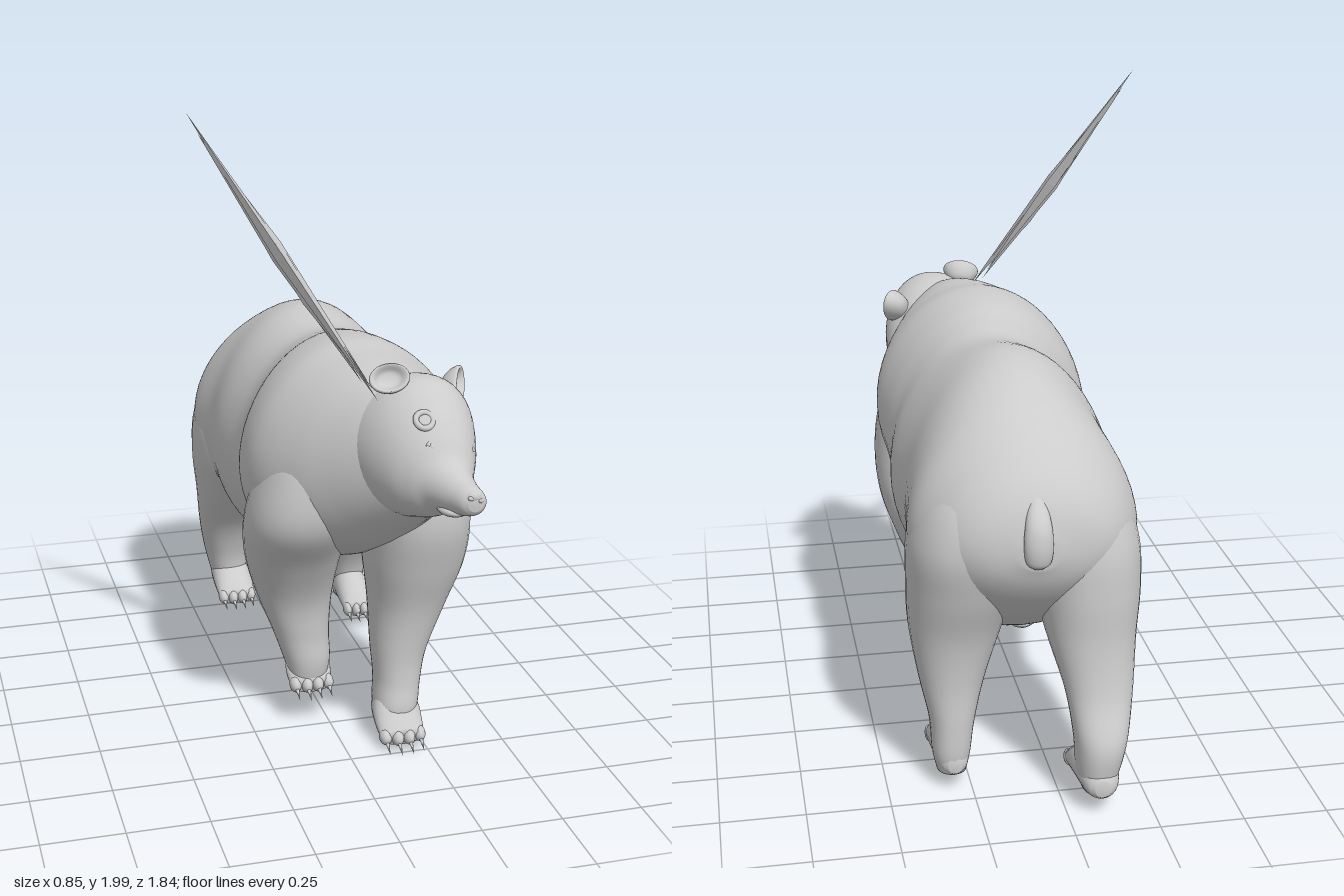
import * as THREE from 'three';

const grey = new THREE.MeshStandardMaterial({ color: 0xcccccc });
const thin = new THREE.MeshStandardMaterial({ color: 0xcccccc, side: THREE.DoubleSide, flatShading: true });
const V = (x, y, z) => new THREE.Vector3(x, y, z);
const soften = (v, p) => Math.sign(v) * Math.abs(v) ** p;

function add(parent, name, geometry, material = grey) {
  const mesh = new THREE.Mesh(geometry, material);
  mesh.name = name;
  parent.add(mesh);
  return mesh;
}

// Smooth skin through oval sections [x, y, z, halfWidth, halfDepth], ascending along the axis.
// egg narrows the top, roll tilts each ring, power below 1 squares the oval.
function loft(sections, axis, { egg = 0, roll = 0, power = 1, sides = 36, steps = 6 } = {}) {
  const path = new THREE.CatmullRomCurve3(sections.map(s => V(s[0], s[1], s[2])), false, 'catmullrom');
  const size = new THREE.CatmullRomCurve3(sections.map(s => V(s[3], s[4], 0)), false, 'catmullrom');
  const rows = (sections.length - 1) * steps;
  const pos = [], index = [];
  for (let i = 0; i <= rows; i++) {
    const c = path.getPoint(i / rows), r = size.getPoint(i / rows);
    for (let j = 0; j < sides; j++) {
      const t = (j / sides) * Math.PI * 2;
      const a = r.x * soften(Math.cos(t), power) * (1 - egg * Math.sin(t)), b = r.y * soften(Math.sin(t), power);
      const u = a * Math.cos(roll) - b * Math.sin(roll), v = a * Math.sin(roll) + b * Math.cos(roll);
      if (axis === 'z') pos.push(c.x + u, c.y + v, c.z);
      else pos.push(c.x + u, c.y, c.z - v);
      if (i < rows) {
        const k = (j + 1) % sides, p = i * sides, q = p + sides;
        index.push(p + j, p + k, q + j, p + k, q + k, q + j);
      }
    }
  }
  // End caps
  const first = pos.length / 3, last = rows * sides;
  pos.push(...sections[0].slice(0, 3), ...sections[sections.length - 1].slice(0, 3));
  for (let j = 0; j < sides; j++) {
    const k = (j + 1) % sides;
    index.push(first, k, j, first + 1, last + j, last + k);
  }
  const g = new THREE.BufferGeometry();
  g.setAttribute('position', new THREE.Float32BufferAttribute(pos, 3));
  g.setIndex(index);
  g.computeVertexNormals();
  return g;
}

function ball(parent, name, x, y, z, rx, ry, rz) {
  const m = add(parent, name, new THREE.SphereGeometry(1, 20, 14));
  m.position.set(x, y, z);
  m.scale.set(rx, ry, rz);
}

// Sole, four toes and curved-down claws; origin at the toe line
function paw(parent, name, x, y, z, length, pitch, width) {
  const g = new THREE.Group();
  g.name = name;
  g.position.set(x, y, z);
  g.rotation.x = pitch;
  add(g, 'sole', loft([
    [0, 0.02, -length, width * 0.35, 0.025], [0, 0.028, -length + 0.03, width * 0.75, 0.048],
    [0, 0.045, -length * 0.5, width, 0.07], [0, 0.022, -0.04, width, 0.047], [0, 0.005, 0.005, width * 0.88, 0.024],
  ], 'z', { sides: 24 }));
  for (let i = 0; i < 4; i++) {
    const u = (i - 1.5) / 1.5, tx = u * width * 0.74, tz = -0.012 * u * u;
    ball(g, 'toe', tx, 0.006, tz, width * 0.26, 0.025, 0.03);
    const claw = add(g, 'claw', new THREE.ConeGeometry(0.008, 0.05, 8));
    claw.position.set(tx, -0.008, tz + 0.04);
    claw.rotation.x = Math.PI / 2 + 0.45;
  }
  parent.add(g);
}

// Dished round ear opening toward dir
function ear(parent, name, center, dir, rx, rz) {
  const profile = [[0, -0.9], [0.5, -0.75], [0.85, -0.3], [1, 0.15], [0.92, 0.32], [0.76, 0.2], [0.5, -0.1], [0, -0.2]];
  const m = add(parent, name, new THREE.LatheGeometry(
    new THREE.SplineCurve(profile.map(p => new THREE.Vector2(...p))).getPoints(24), 28));
  m.position.copy(center);
  m.quaternion.setFromUnitVectors(V(0, 1, 0), dir.normalize());
  m.scale.set(rx, 0.05, rz);
}

// Long three-sided splinter from a to b
function splinter(parent, a, b, r, fat) {
  const d = b.clone().sub(a), len = d.length();
  const m = add(parent, 'splinter', new THREE.LatheGeometry(
    [[0, 0], [r, fat * len], [0, len]].map(p => new THREE.Vector2(...p)), 3), thin);
  m.position.copy(a);
  m.quaternion.setFromUnitVectors(V(0, 1, 0), d.normalize());
}

export function createModel() {
  const bear = new THREE.Group();
  bear.name = 'bear';

  // Torso: [z, top, bottom, right side, left side]
  const torso = [
    [-0.86, 0.87, 0.78, 0.03, 0.13], [-0.83, 0.96, 0.71, -0.1, 0.24], [-0.78, 1.035, 0.64, -0.175, 0.315],
    [-0.7, 1.11, 0.56, -0.23, 0.375], [-0.6, 1.18, 0.49, -0.255, 0.415], [-0.45, 1.245, 0.43, -0.24, 0.405],
    [-0.3, 1.265, 0.42, -0.245, 0.395], [-0.12, 1.24, 0.45, -0.225, 0.41], [0, 1.26, 0.49, -0.23, 0.395],
    [0.12, 1.29, 0.54, -0.26, 0.4], [0.25, 1.303, 0.59, -0.265, 0.41], [0.35, 1.29, 0.64, -0.235, 0.395],
    [0.45, 1.28, 0.7, -0.165, 0.355], [0.53, 1.26, 0.765, -0.08, 0.315], [0.6, 1.21, 0.82, 0, 0.29],
    [0.66, 1.12, 0.87, 0.07, 0.26],
  ];
  add(bear, 'torso', loft(torso.map(([z, t, b, r, l]) =>
    [(r + l) / 2, (t + b) / 2, z, (l - r) / 2, (t - b) / 2]), 'z', { egg: 0.1, sides: 56 }));

  // Tail
  add(bear, 'tail', loft([
    [0.085, 0.785, -0.862, 0.014, 0.01], [0.085, 0.805, -0.862, 0.036, 0.026], [0.085, 0.86, -0.862, 0.042, 0.031],
    [0.083, 0.92, -0.845, 0.036, 0.03], [0.08, 0.99, -0.79, 0.02, 0.02],
  ], 'y', { sides: 24 }));

  // Legs, listed from the ankle up into the shoulder or hip
  const legs = {
    leftFrontLeg: [
      [0.18, 0.05, 0.36, 0.055, 0.07], [0.185, 0.12, 0.353, 0.07, 0.085], [0.195, 0.2, 0.335, 0.073, 0.09],
      [0.205, 0.3, 0.315, 0.087, 0.108], [0.235, 0.45, 0.295, 0.12, 0.148], [0.25, 0.6, 0.31, 0.155, 0.178],
      [0.25, 0.75, 0.335, 0.163, 0.188], [0.235, 0.9, 0.335, 0.155, 0.175], [0.195, 1.05, 0.33, 0.135, 0.14],
      [0.16, 1.18, 0.31, 0.06, 0.07]],
    rightFrontLeg: [
      [-0.055, 0.14, 0.175, 0.055, 0.06], [-0.058, 0.22, 0.165, 0.075, 0.083], [-0.075, 0.32, 0.15, 0.092, 0.1],
      [-0.095, 0.45, 0.145, 0.122, 0.128], [-0.11, 0.6, 0.19, 0.15, 0.165], [-0.115, 0.75, 0.275, 0.16, 0.186],
      [-0.09, 0.9, 0.305, 0.15, 0.172], [-0.04, 1.05, 0.31, 0.13, 0.14], [0, 1.18, 0.3, 0.06, 0.07]],
    leftHindLeg: [
      [0.305, 0.06, -0.63, 0.045, 0.06], [0.305, 0.12, -0.63, 0.057, 0.075], [0.3, 0.22, -0.615, 0.068, 0.09],
      [0.295, 0.35, -0.578, 0.1, 0.125], [0.28, 0.5, -0.555, 0.138, 0.168], [0.26, 0.65, -0.567, 0.163, 0.207],
      [0.245, 0.8, -0.585, 0.172, 0.222], [0.205, 0.95, -0.575, 0.152, 0.2], [0.16, 1.08, -0.55, 0.06, 0.1]],
    rightHindLeg: [
      [-0.1, 0.06, -0.82, 0.045, 0.065], [-0.1, 0.12, -0.82, 0.063, 0.085], [-0.11, 0.22, -0.815, 0.078, 0.095],
      [-0.115, 0.35, -0.76, 0.1, 0.098], [-0.105, 0.5, -0.685, 0.132, 0.15], [-0.1, 0.65, -0.63, 0.158, 0.205],
      [-0.085, 0.8, -0.6, 0.168, 0.225], [-0.045, 0.95, -0.575, 0.152, 0.2], [0, 1.08, -0.55, 0.06, 0.1]],
  };
  for (const [name, s] of Object.entries(legs)) add(bear, name, loft(s, 'y', { power: 0.88 }));
  paw(bear, 'leftFrontPaw', 0.18, 0.038, 0.465, 0.2, 0.17, 0.075);
  paw(bear, 'rightFrontPaw', -0.055, 0.14, 0.235, 0.14, 0.05, 0.072);
  paw(bear, 'leftHindPaw', 0.303, 0.068, -0.44, 0.265, 0.03, 0.058);
  paw(bear, 'rightHindPaw', -0.1, 0.068, -0.66, 0.255, 0.03, 0.068);

  // Head, turned and tilted toward its left
  const head = new THREE.Group();
  head.name = 'head';
  bear.add(head);
  add(head, 'skull', loft([
    [0.15, 1.06, 0.37, 0.13, 0.12], [0.155, 1.05, 0.43, 0.188, 0.17], [0.16, 1.06, 0.53, 0.187, 0.205],
    [0.165, 1.06, 0.62, 0.163, 0.207], [0.175, 1.04, 0.7, 0.132, 0.164], [0.185, 1.02, 0.75, 0.1, 0.122],
    [0.197, 1.002, 0.79, 0.074, 0.078], [0.213, 0.992, 0.85, 0.053, 0.055], [0.228, 0.99, 0.9, 0.04, 0.04],
    [0.232, 0.99, 0.917, 0.022, 0.022],
  ], 'z', { roll: -0.22, sides: 44 }));
  ball(head, 'nose', 0.23, 1.01, 0.9, 0.026, 0.018, 0.019);
  for (const s of [-1, 1]) ball(head, 'nostril', 0.232 + s * 0.014, 1.004 - s * 0.004, 0.912, 0.009, 0.008, 0.008);
  ball(head, 'lowerJaw', 0.2, 0.947, 0.815, 0.046, 0.02, 0.06);
  ear(head, 'leftEar', V(0.32, 1.19, 0.475), V(0.85, 0.15, 0.5), 0.05, 0.078);
  ear(head, 'rightEar', V(0.078, 1.268, 0.588), V(-0.15, 0.55, 0.8), 0.06, 0.045);
  for (const [x, y, z] of [[0.157, 1.11, 0.752], [0.272, 1.083, 0.735]]) {
    ball(head, 'eye', x, y, z, 0.011, 0.011, 0.011);
    const lid = add(head, 'eyelid', new THREE.TorusGeometry(0.015, 0.006, 8, 20, Math.PI));
    lid.position.set(x, y, z + 0.002);
    lid.rotation.set(-0.5, 0.2, -0.2);
  }
  const brow = add(head, 'browRing', new THREE.TorusGeometry(0.025, 0.009, 10, 24));
  brow.position.set(0.145, 1.178, 0.712);
  brow.rotation.x = -0.75;

  // Splintered shaft rising from beside the right ear
  const shaft = new THREE.Group();
  shaft.name = 'splinteredShaft';
  bear.add(shaft);
  const tip = V(-0.43, 2, 0.23);
  splinter(shaft, V(0.04, 1.21, 0.61), tip, 0.022, 0.5);
  splinter(shaft, V(0, 1.29, 0.51), tip, 0.02, 0.45);
  splinter(shaft, V(0.02, 1.26, 0.57), V(-0.4, 1.94, 0.25), 0.028, 0.55);
  splinter(shaft, V(0.01, 1.25, 0.55), V(-0.34, 1.84, 0.3), 0.024, 0.6);
  splinter(shaft, V(0.03, 1.24, 0.58), V(-0.28, 1.72, 0.33), 0.02, 0.5);
  return bear;
}
